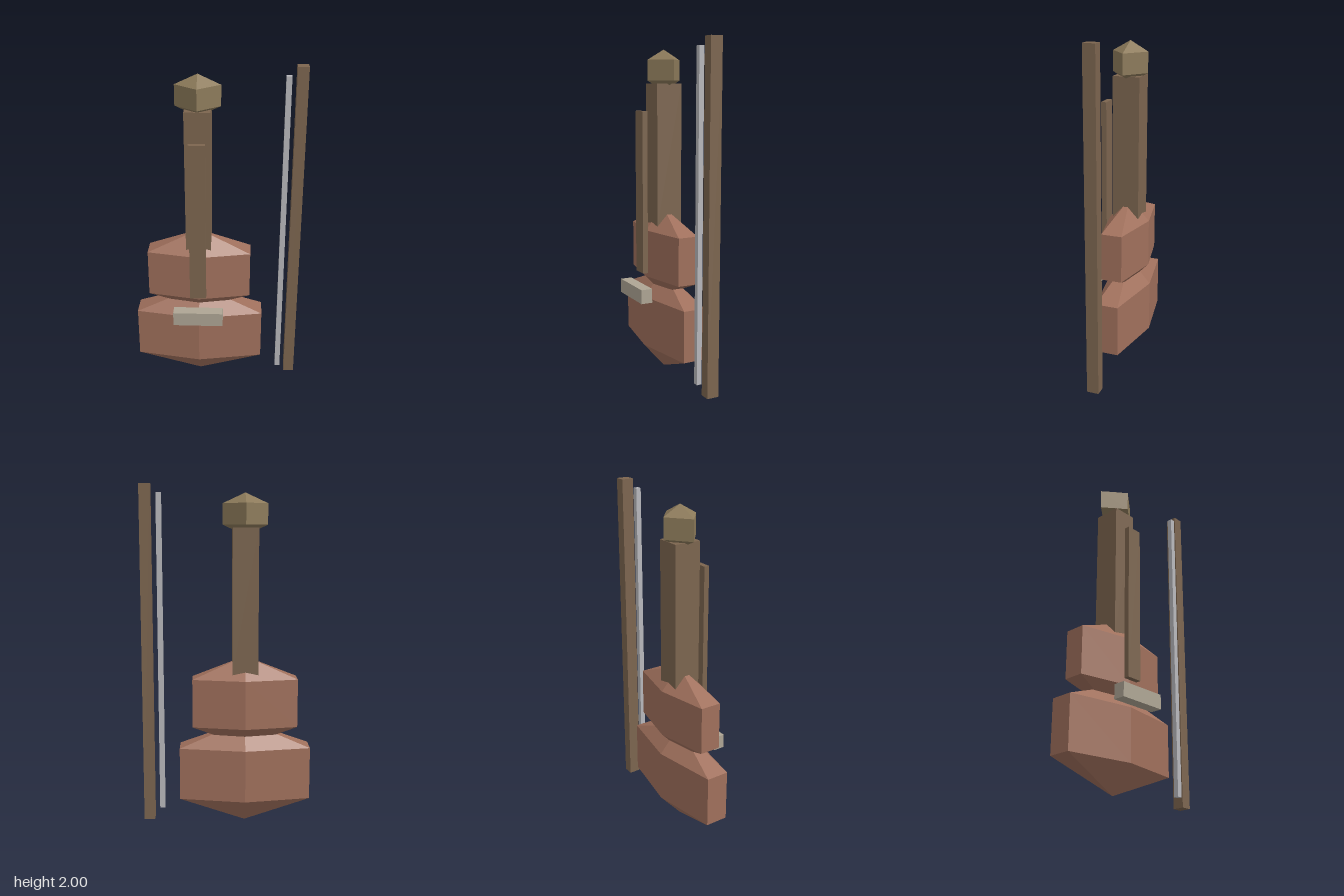
import * as THREE from 'three';

const CX = -0.11, CZ = -0.043; // axis of the instrument

const paint = (color) => new THREE.MeshStandardMaterial({ color, flatShading: true });

// Box given by its extents on each axis
function slab(name, material, [x0, x1], [y0, y1], [z0, z1]) {
  const mesh = new THREE.Mesh(new THREE.BoxGeometry(x1 - x0, y1 - y0, z1 - z0), material);
  mesh.name = name;
  mesh.position.set((x0 + x1) / 2, (y0 + y1) / 2, (z0 + z1) / 2);
  return mesh;
}

// Faceted prism with pointed ends; corners lie on an ellipse of radii rx, rz
function pointedPrism(name, material, sides, rx, rz, [bottom, low, high, top]) {
  const profile = [[0, bottom], [1, low], [1, high], [0, top]].map(([r, y]) => new THREE.Vector2(r, y));
  const geometry = new THREE.LatheGeometry(profile, sides).scale(rx, 1, rz);
  const mesh = new THREE.Mesh(geometry, material);
  mesh.name = name;
  mesh.position.set(CX, 0, CZ);
  return mesh;
}

export function createModel() {
  const body = paint(0xa0705c);
  const wood = paint(0x7c654f);
  const pegWood = paint(0x8c7a5a);
  const bone = paint(0xaea594);
  const hair = paint(0xb8b8bc);
  const model = new THREE.Group();
  model.name = 'violinAndBow';

  // Violin
  const violin = new THREE.Group();
  violin.name = 'violin';
  violin.add(
    pointedPrism('lowerBout', body, 6, 0.445, 0.135, [0.002, 0.157, 0.467, 0.62]),
    pointedPrism('upperBout', body, 6, 0.356, 0.124, [0.465, 0.595, 0.88, 1.01]),
    slab('neck', wood, [-0.185, -0.036], [0.91, 1.755], [-0.123, 0.037]),
    slab('fingerboard', wood, [-0.159, -0.063], [0.625, 1.595], [0.088, 0.12]),
    slab('bridge', bone, [-0.258, 0.038], [0.47, 0.555], [0.11, 0.18]),
    pointedPrism('scroll', pegWood, 4, 0.13, 0.106, [1.71, 1.77, 1.89, 1.95]),
  );

  // Bow
  const bow = new THREE.Group();
  bow.name = 'bow';
  bow.add(
    slab('bowStick', wood, [0.43, 0.493], [0.017, 2.0], [-0.077, -0.006]),
    slab('bowHair', hair, [0.371, 0.402], [0.068, 1.952], [-0.02, 0.01]),
  );

  model.add(violin, bow);
  return model;
}
